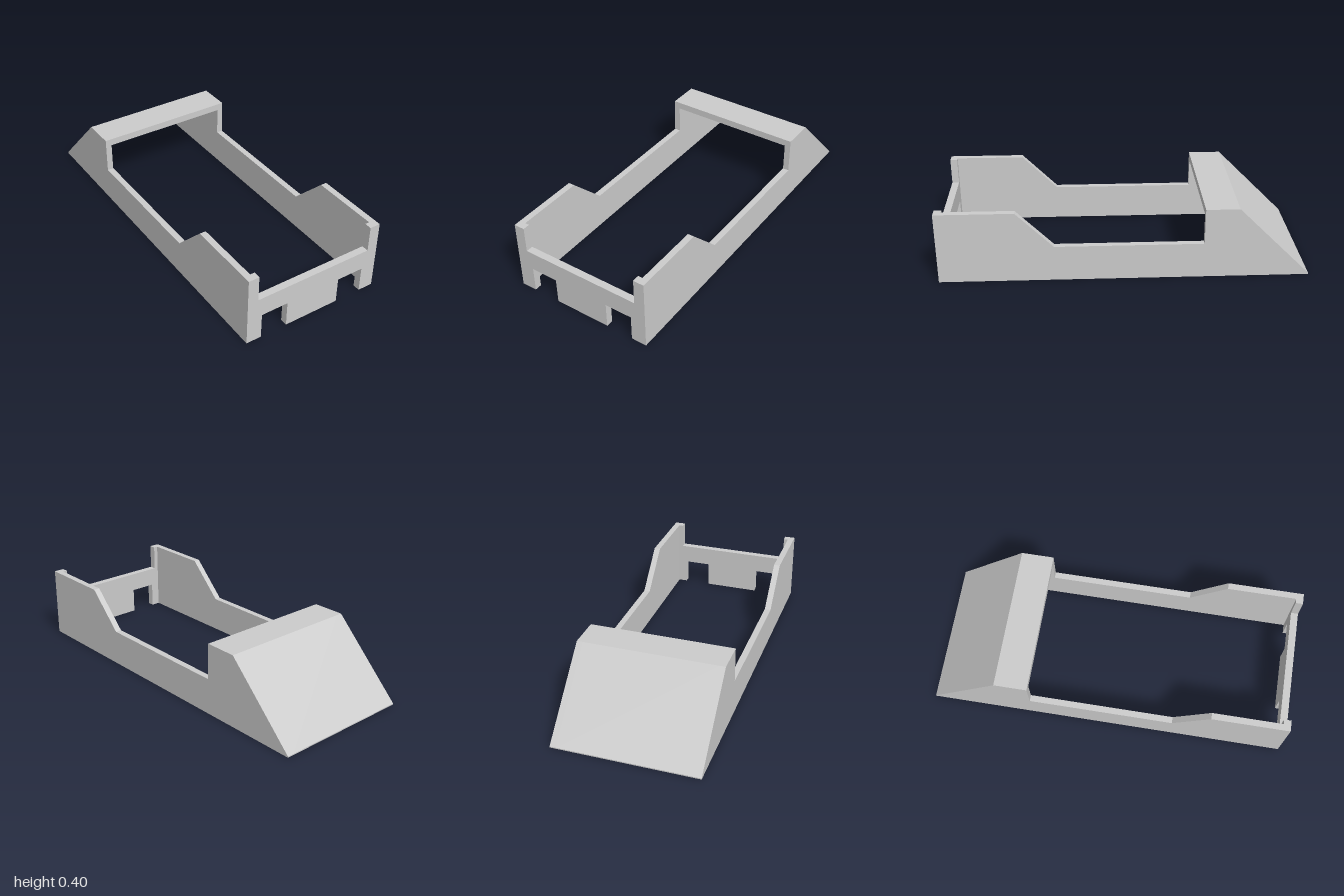
import * as THREE from 'three';

const HALF = 0.4;      // half of the outer width
const INNER = 0.365;   // inner face of the side walls
const material = new THREE.MeshStandardMaterial({ color: 0xcccccc, flatShading: true });

const toShape = pts => new THREE.Shape(pts.map(([a, b]) => new THREE.Vector2(a, b)));

// Extrude a (z, y) profile across x, from x0 to x1
function acrossX(name, profile, x0, x1) {
  const geo = new THREE.ExtrudeGeometry(toShape(profile), { depth: x1 - x0, bevelEnabled: false });
  geo.rotateY(-Math.PI / 2).translate(x1, 0, 0);
  const mesh = new THREE.Mesh(geo, material);
  mesh.name = name;
  return mesh;
}

export function createModel() {
  const group = new THREE.Group();
  group.name = 'openFrame';

  // Side walls: raised front, low middle, sloping back
  const side = [
    [1, 0], [1, 0.4], [0.577, 0.4], [0.377, 0.2], [-0.425, 0.2],
    [-0.425, 0.4], [-0.607, 0.4], [-1, 0.006], [-1, 0],
  ];
  group.add(acrossX('leftWall', side, INNER, HALF));
  group.add(acrossX('rightWall', side, -HALF, -INNER));

  // Back hood: flat roof strip and sloping rear plate, open beneath
  const hood = [
    [-0.425, 0.36], [-0.425, 0.4], [-0.607, 0.4], [-1, 0.006], [-1, 0],
    [-0.957, 0], [-0.94, 0.03], [-0.607, 0.36],
  ];
  group.add(acrossX('backHood', hood, -INNER, INNER));

  // Front panel: wide cut at the top, two notches at the bottom
  const half = [
    [0.16, 0], [0.16, 0.145], [0.314, 0.145], [0.314, 0],
    [INNER, 0], [INNER, 0.4], [0.34, 0.4], [0.34, 0.255],
  ];
  const mirrored = half.map(([x, y]) => [-x, y]).reverse();
  const panelGeo = new THREE.ExtrudeGeometry(toShape([...half, ...mirrored]), { depth: 0.04, bevelEnabled: false });
  const panel = new THREE.Mesh(panelGeo, material);
  panel.position.z = 0.96;
  panel.name = 'frontPanel';
  group.add(panel);

  return group;
}
